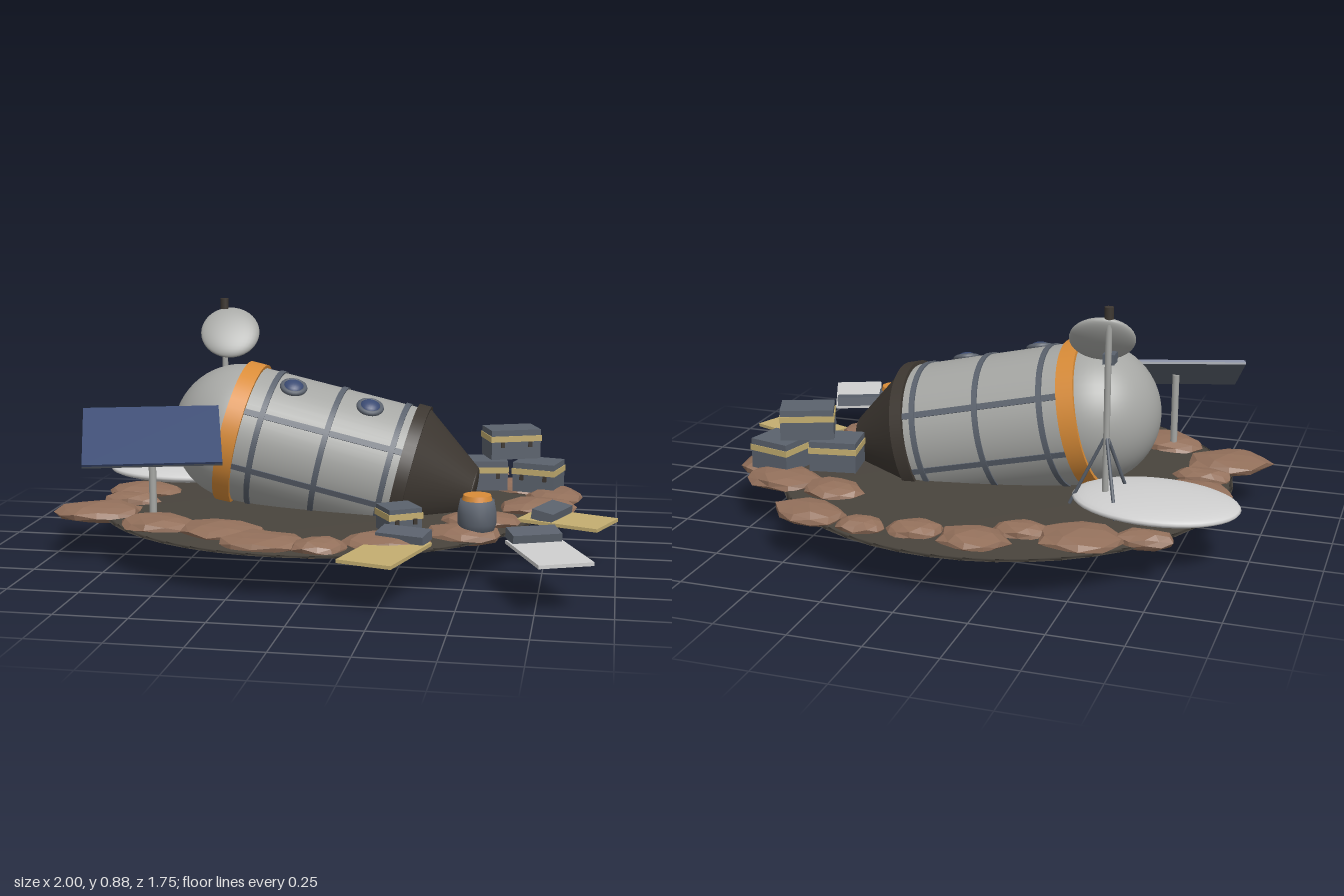
import * as THREE from 'three';

const paint = (name, color) => {
  const m = new THREE.MeshStandardMaterial({ color });
  m.name = name;
  return m;
};

export function createModel() {
  const root = new THREE.Group();
  root.name = 'crashSite';

  const hull = paint('hullGrey', 0xa6a7a4);
  const orange = paint('orange', 0xd98c38);
  const slate = paint('slate', 0x5b626d);
  const tan = paint('tan', 0xc4ae70);
  const soil = paint('darkSoil', 0x49443d);
  const char = paint('charred', 0x3d3731);
  const stone = paint('brownStone', 0x93705b);
  const white = paint('paleWhite', 0xd0d0d0);
  const blue = paint('deepBlue', 0x3a4a72);
  soil.side = THREE.DoubleSide;

  const add = (parent, name, geo, mat, x = 0, y = 0, z = 0) => {
    const m = new THREE.Mesh(geo, mat);
    m.name = name;
    m.position.set(x, y, z);
    parent.add(m);
    return m;
  };
  const group = (parent, name, x = 0, y = 0, z = 0, ry = 0) => {
    const g = new THREE.Group();
    g.name = name;
    g.position.set(x, y, z);
    g.rotation.y = ry;
    parent.add(g);
    return g;
  };
  const box = (w, h, d) => new THREE.BoxGeometry(w, h, d);
  const cyl = (rt, rb, h, n = 32, open = false) => new THREE.CylinderGeometry(rt, rb, h, n, 1, open);
  const rod = (parent, name, a, b, r, mat) => {
    const p = new THREE.Vector3(...a), q = new THREE.Vector3(...b), d = q.clone().sub(p);
    const m = add(parent, name, cyl(r, r, d.length(), 10), mat);
    m.position.copy(p.add(q).multiplyScalar(0.5));
    m.quaternion.setFromUnitVectors(new THREE.Vector3(0, 1, 0), d.normalize());
  };

  // Crater floor: a thin, slightly domed disc
  const floor = [[0, 0.172], [0.4, 0.168], [0.8, 0.16], [0.815, 0.155], [0, 0.15]]
    .map(([r, y]) => new THREE.Vector2(r, y)).reverse();
  add(root, 'craterFloor', new THREE.LatheGeometry(floor, 48), soil, -0.08, 0, -0.065);

  // Rim stones: x, z, half length, half depth, turn
  const stones = [
    [-0.17, -0.72, 0.13, 0.1, 0], [0.035, -0.71, 0.1, 0.075, 0.1], [0.22, -0.73, 0.09, 0.065, 0],
    [0.43, -0.67, 0.15, 0.1, -0.3], [0.44, -0.45, 0.12, 0.095, 0], [0.65, -0.4, 0.16, 0.11, -0.2],
    [0.77, -0.25, 0.11, 0.14, 0], [0.71, -0.06, 0.15, 0.12, 0.2], [0.53, 0.18, 0.15, 0.11, 0.1],
    [0.49, 0.38, 0.14, 0.1, 0], [0.25, 0.53, 0.16, 0.11, 0.2], [0.04, 0.64, 0.1, 0.085, 0.1],
    [-0.16, 0.61, 0.16, 0.12, -0.1], [-0.33, 0.48, 0.17, 0.12, -0.2], [-0.57, 0.42, 0.15, 0.11, -0.2],
    [-0.83, 0.27, 0.165, 0.13, 0.2], [-0.77, 0.085, 0.11, 0.06, 0], [-0.77, -0.08, 0.15, 0.11, 0],
    [-0.7, -0.55, 0.11, 0.06, 0.3], [-0.5, -0.6, 0.16, 0.13, 0.2], [-0.3, -0.61, 0.1, 0.07, 0.1],
  ];
  const rim = group(root, 'stoneRim');
  stones.forEach(([x, z, rx, rz, turn], i) => {
    const geo = new THREE.IcosahedronGeometry(1, 1);
    const p = geo.attributes.position, v = new THREE.Vector3();
    for (let k = 0; k < p.count; k++) {
      v.fromBufferAttribute(p, k);
      const s = 0.94 + 0.11 * Math.sin(v.x * 5 + i * 2.3) * Math.cos(v.z * 4 + i + v.y * 3);
      p.setXYZ(k, v.x * s * rx, v.y * s * 0.036, v.z * s * rz);
    }
    geo.computeVertexNormals();
    add(rim, 'rimStone', geo, stone, x, 0.166, z).rotation.y = turn;
  });

  // Capsule: local +y runs to the nose, local +x is its upper side
  const capsule = group(root, 'capsule', 0.243, 0.27, -0.045);
  capsule.rotation.z = THREE.MathUtils.degToRad(77);
  add(capsule, 'capsuleBody', cyl(0.253, 0.253, 0.64, 48), hull, 0, 0.32, 0);
  add(capsule, 'noseDome', new THREE.SphereGeometry(0.253, 48, 16, 0, Math.PI * 2, 0, Math.PI / 2), hull, 0, 0.64, 0);
  add(capsule, 'orangeBand', cyl(0.265, 0.265, 0.062, 48), orange, 0, 0.636, 0);
  for (const y of [0.54, 0.3, 0.06]) add(capsule, 'hoop', cyl(0.259, 0.259, 0.02, 48), slate, 0, y, 0);
  add(capsule, 'flange', cyl(0.267, 0.267, 0.045, 48), char);
  add(capsule, 'rearCone', cyl(0.257, 0.095, 0.22, 48), char, 0, -0.13, 0);
  const tip = add(capsule, 'rearTip', new THREE.SphereGeometry(0.095, 32, 12), char, 0, -0.24, 0);
  tip.scale.y = 0.15;

  // Lengthwise seams on both flanks
  for (const deg of [60, 107, -60, -107]) {
    const seam = group(capsule, 'seam', 0, 0.32, 0, -THREE.MathUtils.degToRad(deg));
    add(seam, 'seamStrip', box(0.008, 0.6, 0.022), slate, 0.252, 0, 0);
  }

  // Portholes
  for (const y of [0.47, 0.183]) {
    const port = group(capsule, 'porthole', 0, y, 0, -THREE.MathUtils.degToRad(24));
    add(port, 'portholeRim', new THREE.TorusGeometry(0.04, 0.01, 10, 28), slate, 0.256, 0, 0).rotation.y = Math.PI / 2;
    add(port, 'portholeGlass', new THREE.SphereGeometry(0.04, 24, 14), blue, 0.252, 0, 0).scale.x = 0.65;
  }

  // Dish antenna on a three-legged mast
  const antenna = group(root, 'antenna', -0.517, 0, -0.345);
  rod(antenna, 'mast', [0, 0.17, 0], [0, 0.85, 0], 0.011, hull);
  add(antenna, 'mastCap', cyl(0.016, 0.016, 0.04, 12), char, 0, 0.86, 0);
  for (let i = 0; i < 3; i++) {
    const a = (i * 2 * Math.PI) / 3;
    rod(antenna, 'mastLeg', [0, 0.44, 0], [Math.cos(a) * 0.125, 0.18, Math.sin(a) * 0.125], 0.006, slate);
  }
  add(antenna, 'dishBracket', box(0.04, 0.035, 0.05), slate, 0, 0.7, 0.025);
  const dish = add(antenna, 'dish', new THREE.SphereGeometry(0.112, 36, 18), hull, 0.035, 0.755, 0.055);
  dish.scale.z = 0.27;
  dish.rotation.set(-0.68, 0.2, 0, 'YXZ');

  // Collapsed pale canopy
  const canopy = add(root, 'canopy', new THREE.SphereGeometry(1, 40, 16), white, -0.685, 0.21, -0.315);
  canopy.scale.set(0.292, 0.036, 0.208);
  canopy.rotation.y = -0.1;

  // Solar panel on a post
  const solar = add(root, 'solarPanel', box(0.477, 0.008, 0.3), blue, -0.603, 0.469, 0.368);
  solar.rotation.set(0.54, 0.296, 0, 'YXZ');
  add(solar, 'solarBacking', box(0.477, 0.008, 0.3), slate, 0, -0.008, 0);
  rod(root, 'solarPost', [-0.603, 0.16, 0.368], [-0.603, 0.455, 0.368], 0.013, hull);

  // Supply crates with a strap around the upper part
  const crates = [
    [0.6, 0.362, -0.3, 0.19, 0.11, 0.13, 0.37], [0.5, 0.245, -0.275, 0.17, 0.11, 0.14, 0.16],
    [0.705, 0.235, -0.31, 0.16, 0.11, 0.14, -0.25], [0.265, 0.207, 0.36, 0.12, 0.09, 0.12, 0.55],
  ];
  for (const [x, y, z, w, h, d, turn] of crates) {
    const crate = group(root, 'crate', x, y, z, turn);
    add(crate, 'crateBox', box(w, h, d), slate);
    add(crate, 'crateStrap', box(w + 0.006, 0.022, d + 0.006), tan, 0, h * 0.2, 0);
    for (const s of [-1, 1]) add(crate, 'crateLatch', box(0.014, 0.02, 0.008), char, s * w * 0.28, 0, d / 2 + 0.002);
  }

  // Barrel with an orange lid
  const barrel = [[0, 0], [0.055, 0], [0.066, 0.04], [0.066, 0.075], [0.058, 0.118], [0, 0.118]]
    .map(([r, y]) => new THREE.Vector2(r, y));
  add(root, 'barrel', new THREE.LatheGeometry(barrel, 28), slate, 0.533, 0.168, 0.372);
  add(root, 'barrelLid', cyl(0.047, 0.052, 0.02, 28), orange, 0.533, 0.293, 0.372);

  // Torn-off plates, each with a hinge block at its inner end
  const plates = [
    [0.265, 0.69, 0.19, 0.33, -0.28, tan, -0.15], [0.83, 0.14, 0.19, 0.3, 1.19, tan, -0.06],
    [0.785, 0.6, 0.185, 0.33, 0.39, white, -0.145],
  ];
  for (const [x, z, w, l, turn, mat, hinge] of plates) {
    const plate = group(root, 'wreckPlate', x, 0.172, z, turn);
    add(plate, 'plateSheet', box(w, 0.012, l), mat);
    add(plate, 'plateHinge', box(0.17, 0.035, 0.08), slate, 0, 0.022, hinge).rotation.x = 0.15;
  }

  return root;
}
